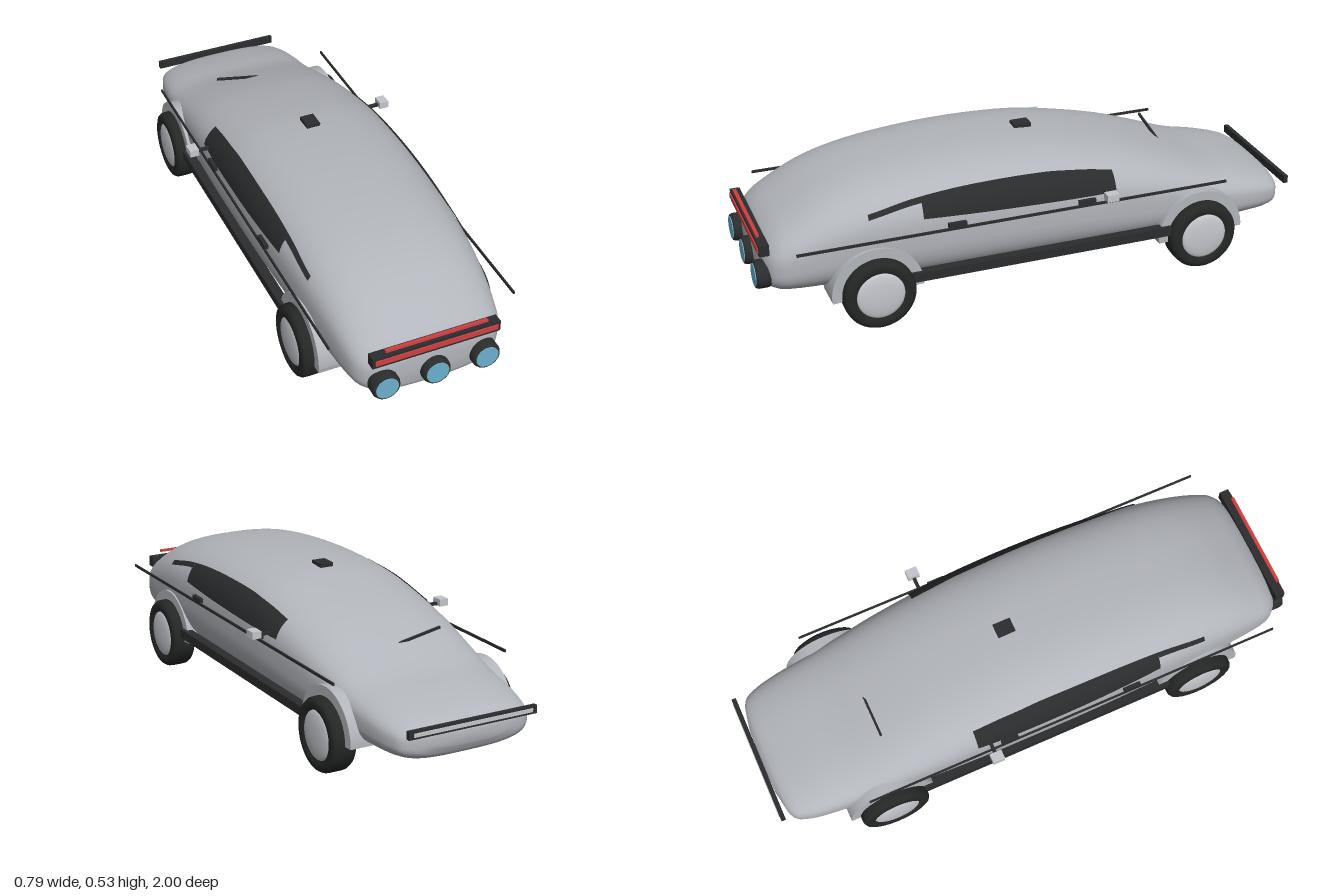
import * as THREE from 'three';

const mat = (name, color, side = THREE.FrontSide) => {
  const m = new THREE.MeshStandardMaterial({ color, side });
  m.name = name;
  return m;
};

// Body stations from nose to tail: z, half width, bottom y, top y
const STATIONS = [
  [0.968, 0.12, 0.19, 0.27], [0.96, 0.2, 0.148, 0.3], [0.93, 0.25, 0.125, 0.34],
  [0.88, 0.272, 0.115, 0.378], [0.75, 0.292, 0.108, 0.447], [0.6, 0.307, 0.105, 0.49],
  [0.4, 0.318, 0.1, 0.515], [0.18, 0.325, 0.1, 0.523], [-0.05, 0.325, 0.1, 0.513],
  [-0.2, 0.322, 0.1, 0.488], [-0.4, 0.312, 0.1, 0.44], [-0.55, 0.3, 0.104, 0.388],
  [-0.7, 0.288, 0.108, 0.33], [-0.82, 0.277, 0.112, 0.302], [-0.92, 0.255, 0.12, 0.272],
  [-0.96, 0.22, 0.138, 0.25], [-0.978, 0.13, 0.17, 0.225],
];

// Smooth interpolation of column k of a table sorted by falling z
function sample(table, z, k) {
  const last = table.length - 1;
  let i = 0;
  while (i < last - 1 && z < table[i + 1][0]) i++;
  const slope = (j) => {
    const a = table[Math.max(j - 1, 0)], b = table[Math.min(j + 1, last)];
    return (b[k] - a[k]) / (b[0] - a[0]);
  };
  const p = table[i], q = table[i + 1], d = q[0] - p[0];
  const t = THREE.MathUtils.clamp((z - p[0]) / d, 0, 1), t2 = t * t, t3 = t2 * t;
  return (2 * t3 - 3 * t2 + 1) * p[k] + (t3 - 2 * t2 + t) * d * slope(i)
    + (3 * t2 - 2 * t3) * q[k] + (t3 - t2) * d * slope(i + 1);
}

const TOP_N = 2.7, LOW_N = 3;
function section(z) {
  const w = sample(STATIONS, z, 1), b = sample(STATIONS, z, 2), t = sample(STATIONS, z, 3);
  return { w, mid: b + (t - b) * 0.52, b, t };
}

// Half width of the body at a height and station
function bodyX(y, z) {
  const { w, mid, b, t } = section(z);
  const n = y > mid ? TOP_N : LOW_N;
  const f = Math.min(Math.abs(y - mid) / (y > mid ? t - mid : mid - b), 1);
  return w * Math.pow(1 - Math.pow(f, n), 1 / n);
}

function meshGeometry(pos, idx) {
  const g = new THREE.BufferGeometry();
  g.setAttribute('position', new THREE.Float32BufferAttribute(pos, 3));
  g.setIndex(idx);
  g.computeVertexNormals();
  return g;
}

// Lofted superellipse shell
function bodyGeometry() {
  const zs = [], S = 72, pos = [], idx = [];
  for (let i = 0; i < STATIONS.length - 1; i++)
    for (let s = 0; s < 4; s++) zs.push(THREE.MathUtils.lerp(STATIONS[i][0], STATIONS[i + 1][0], s / 4));
  zs.push(STATIONS[STATIONS.length - 1][0]);
  zs.forEach((z, i) => {
    const { w, mid, b, t } = section(z);
    for (let j = 0; j < S; j++) {
      const a = (j / S) * Math.PI * 2, c = Math.cos(a), s = Math.sin(a);
      const e = 2 / (s > 0 ? TOP_N : LOW_N);
      pos.push(w * Math.sign(c) * Math.abs(c) ** e,
        mid + (s > 0 ? t - mid : mid - b) * Math.sign(s) * Math.abs(s) ** e, z);
      if (i === zs.length - 1) continue;
      const p = i * S + j, q = i * S + (j + 1) % S;
      idx.push(p, p + S, q, q, p + S, q + S);
    }
  });
  // Nose and tail caps
  const nose = pos.length / 3, tail = nose + 1, lastRing = (zs.length - 1) * S;
  pos.push(0, 0.23, 0.971, 0, 0.2, -0.983);
  for (let j = 0; j < S; j++) {
    const k = (j + 1) % S;
    idx.push(nose, j, k, tail, lastRing + k, lastRing + j);
  }
  return meshGeometry(pos, idx);
}

// Panel that follows the side of the body
function sidePanel(side, z0, z1, low, high) {
  const pos = [], idx = [], U = 28, V = 5;
  for (let i = 0; i <= U; i++) {
    const z = THREE.MathUtils.lerp(z0, z1, i / U);
    for (let j = 0; j <= V; j++) {
      const y = THREE.MathUtils.lerp(low(z), high(z), j / V);
      pos.push(side * (bodyX(y, z) + 0.005), y, z);
      if (i === U || j === V) continue;
      const a = i * (V + 1) + j, c = a + V + 1;
      if (side > 0) idx.push(a, c, a + 1, a + 1, c, c + 1);
      else idx.push(a, a + 1, c, a + 1, c + 1, c);
    }
  }
  return meshGeometry(pos, idx);
}

export function createModel() {
  const silver = mat('silverPaint', 0xb2b5bb);
  const light = mat('lightMetal', 0xc4c6cc);
  const trim = mat('blackTrim', 0x2b2c2d);
  const rubber = mat('tyreRubber', 0x252626);
  const glass = mat('darkGlass', 0x2a2b2c, THREE.DoubleSide);
  const red = mat('redLight', 0xcf4040);
  const blue = mat('blueLens', 0x6cb0cd);

  const model = new THREE.Group();
  const add = (name, geo, material, x = 0, y = 0, z = 0) => {
    const m = new THREE.Mesh(geo, material);
    m.name = name;
    m.position.set(x, y, z);
    model.add(m);
    return m;
  };
  const box = (name, material, w, h, d, x, y, z) =>
    add(name, new THREE.BoxGeometry(w, h, d), material, x, y, z);

  add('body', bodyGeometry(), silver);

  // Shared wheel shapes
  const tyreGeo = new THREE.LatheGeometry([
    [0, -0.04], [0.085, -0.04], [0.09, -0.045], [0.11, -0.045], [0.121, -0.04], [0.127, -0.03],
    [0.128, -0.015], [0.128, 0.015], [0.127, 0.03], [0.121, 0.04], [0.11, 0.045], [0.09, 0.045],
    [0.085, 0.036], [0, 0.036],
  ].map(([r, y]) => new THREE.Vector2(r, y)), 48);
  tyreGeo.rotateZ(-Math.PI / 2);
  const hubGeo = new THREE.SphereGeometry(0.085, 40, 24);
  hubGeo.scale(0.17, 1, 1);

  // Wheel arch: half disc with a short skirt
  const arch = new THREE.Shape();
  arch.moveTo(0.16, -0.018);
  arch.absarc(0, 0, 0.163, 0, Math.PI, false);
  arch.lineTo(-0.16, -0.018);
  const archGeo = new THREE.ExtrudeGeometry(arch, { depth: 0.116, bevelEnabled: false, curveSegments: 32 });
  archGeo.translate(0, 0, -0.058);
  archGeo.rotateY(Math.PI / 2);

  const windowTop = [[0.62, 0.41], [0.46, 0.441], [0.25, 0.459], [0, 0.458], [-0.15, 0.442], [-0.27, 0.42]];
  const high = (z) => sample(windowTop, z, 1);

  for (const s of [1, -1]) {
    const side = s > 0 ? 'left' : 'right';
    for (const [end, z] of [['Front', 0.602], ['Rear', -0.606]]) {
      const tyre = add(side + end + 'Tyre', tyreGeo, rubber, s * 0.31, 0.13, z);
      if (s < 0) tyre.rotation.y = Math.PI;
      add(side + end + 'Hubcap', hubGeo, light, s * 0.346, 0.13, z);
      add(side + end + 'WheelArch', archGeo, silver, s * 0.258, 0.13, z);
    }
    add(side + 'QuarterWindow', sidePanel(s, 0.62, 0.435, (z) => high(z) - 0.017, high), glass);
    add(side + 'SideWindow', sidePanel(s, 0.435, -0.27, (z) => 0.363 + 0.03 * z, high), glass);
    box(side + 'Sill', trim, 0.035, 0.034, 0.97, s * 0.313, 0.163, 0);
    box(side + 'BeltLine', trim, 0.006, 0.009, 1.57, s * 0.333, 0.33, 0.095);
    for (const z of [0.32, -0.155])
      box(side + 'DoorHandle', trim, 0.014, 0.016, 0.064, s * 0.328, 0.342, z);
    box(side + 'MirrorArm', trim, 0.06, 0.01, 0.012, s * 0.335, 0.367, -0.225);
    box(side + 'Mirror', light, 0.034, 0.026, 0.044, s * 0.378, 0.373, -0.225);
  }

  // Front light bar
  box('lightBarFrame', trim, 0.456, 0.04, 0.035, 0, 0.31, 0.965);
  box('lightBar', red, 0.436, 0.019, 0.006, 0, 0.311, 0.984);
  box('upperLightStrip', red, 0.364, 0.008, 0.012, 0, 0.346, 0.975);

  // Three round headlamps
  const lampGeo = new THREE.LatheGeometry([
    [0, 0], [0.046, 0], [0.05, 0.008], [0.05, 0.042], [0.046, 0.051], [0.041, 0.051], [0, 0.051],
  ].map(([r, y]) => new THREE.Vector2(r, y)), 40);
  lampGeo.rotateX(Math.PI / 2);
  const lensGeo = new THREE.CylinderGeometry(0.04, 0.04, 0.006, 40);
  lensGeo.rotateX(Math.PI / 2);
  for (const x of [-0.18, 0, 0.18]) {
    add('headlampHousing', lampGeo, trim, x, 0.202, 0.945);
    add('headlampLens', lensGeo, blue, x, 0.202, 0.996);
  }

  // Tail bar, rear wiper and roof pod
  box('tailBar', trim, 0.484, 0.028, 0.016, 0, 0.241, -0.988);
  box('tailBarStrip', light, 0.45, 0.013, 0.006, 0, 0.241, -0.996);
  box('rearWiper', trim, 0.2, 0.008, 0.008, -0.052, 0.39, -0.565).rotation.z = -0.19;
  box('roofPod', trim, 0.05, 0.014, 0.064, 0, 0.52, -0.03);

  return model;
}
